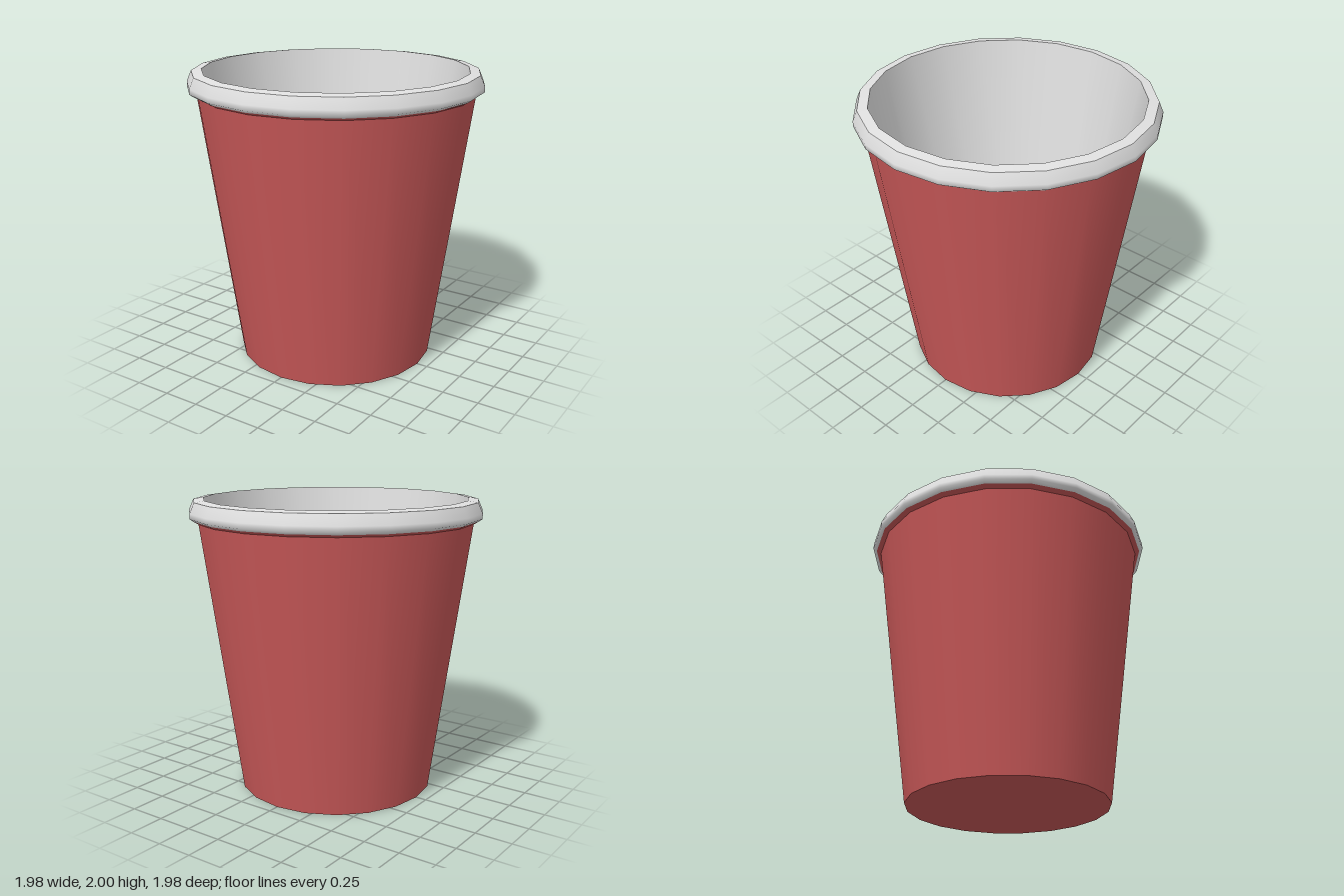
import * as THREE from 'three';

const SIDES = 20;

export function createModel() {
  const red = new THREE.MeshStandardMaterial({ color: 0xc85858 });
  red.name = 'cup red';
  const white = new THREE.MeshStandardMaterial({ color: 0xe0e0e0 });
  white.name = 'paper white';

  const cup = new THREE.Group();
  cup.name = 'cup';

  // Each band is its own lathe, so normals are smooth around and sharp between bands
  const band = (name, material, profile) => {
    const points = profile.map(([r, y]) => new THREE.Vector2(r, y));
    const mesh = new THREE.Mesh(new THREE.LatheGeometry(points, SIDES), material);
    mesh.name = name;
    cup.add(mesh);
  };

  // Outside, from the base up
  band('base', red, [[0, 0], [0.675, 0]]);
  band('outerWall', red, [[0.675, 0], [0.932, 1.85]]);
  band('lipUnderside', red, [[0.932, 1.85], [0.963, 1.868]]);

  // Rolled lip
  band('lip', white, [[0.963, 1.868], [0.988, 1.885], [0.988, 1.92], [0.957, 1.99]]);
  band('lipTop', white, [[0.957, 1.99], [0.89, 2]]);

  // Inside, from the lip down
  band('innerWall', white, [[0.89, 2], [0.615, 0.03]]);
  band('floor', white, [[0.615, 0.03], [0, 0.03]]);

  return cup;
}
